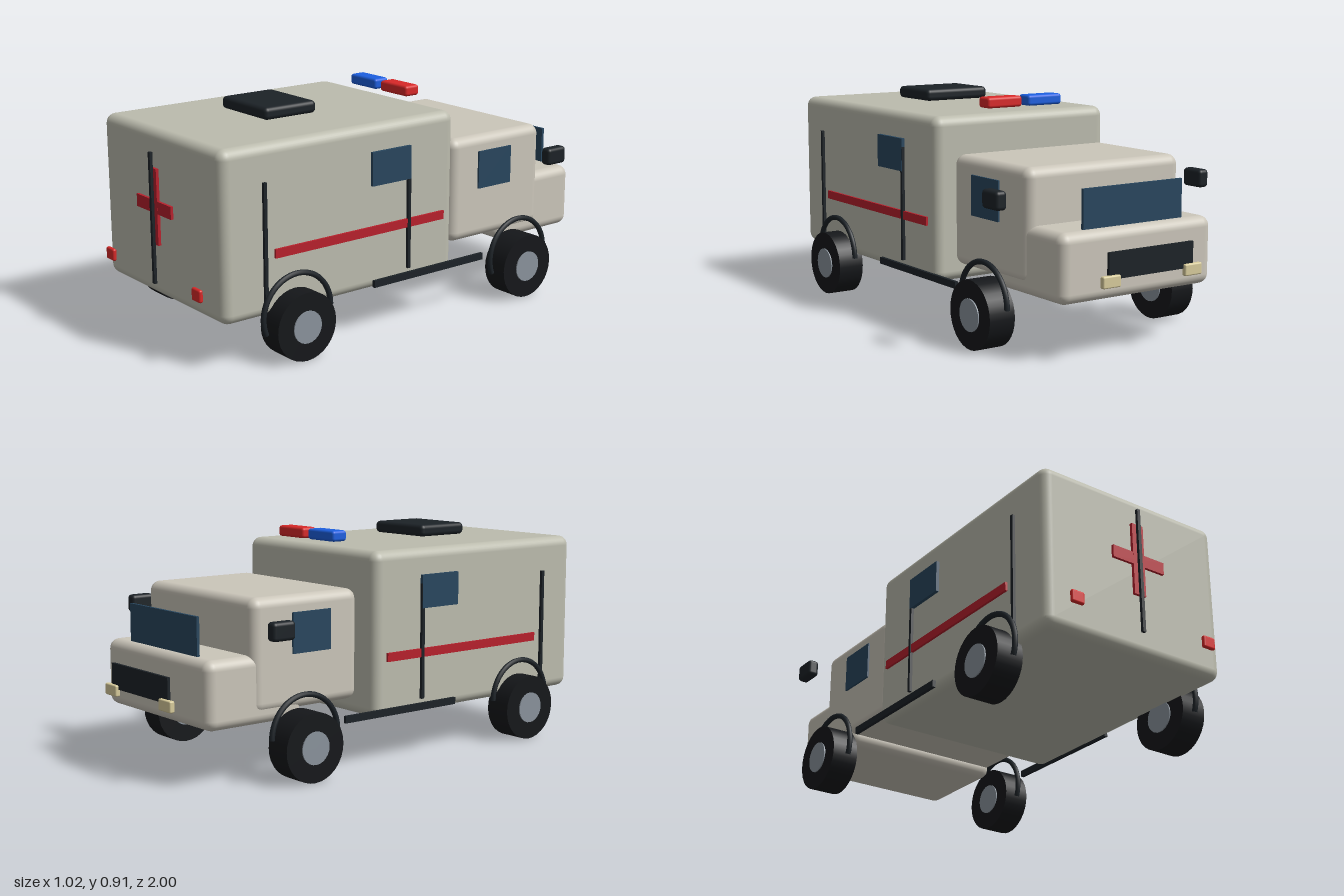
import * as THREE from 'three';
import { RoundedBoxGeometry } from 'three/addons/geometries/RoundedBoxGeometry.js';

const mat = (color) => new THREE.MeshStandardMaterial({ color });

export function createModel() {
  const group = new THREE.Group();
  const M = {
    body: mat(0xbcbcae), cab: mat(0xcbc6ba), black: mat(0x1c2227), tire: mat(0x15171a),
    hub: mat(0x8a939c), glass: mat(0x28465e), red: mat(0xb8202c), lampRed: mat(0xd82828),
    lampBlue: mat(0x1c5fe0), cream: mat(0xd8cc9c),
  };

  const add = (name, geometry, material, x = 0, y = 0, z = 0) => {
    const mesh = new THREE.Mesh(geometry, material);
    mesh.name = name;
    mesh.position.set(x, y, z);
    group.add(mesh);
    return mesh;
  };
  // Box given by its [min, max] range on each axis; r rounds the edges
  const box = (name, material, [x0, x1], [y0, y1], [z0, z1], r = 0) => {
    const size = [x1 - x0, y1 - y0, z1 - z0];
    const geometry = r ? new RoundedBoxGeometry(...size, 4, r) : new THREE.BoxGeometry(...size);
    return add(name, geometry, material, (x0 + x1) / 2, (y0 + y1) / 2, (z0 + z1) / 2);
  };
  // Box repeated on both sides
  const pair = (name, material, [x0, x1], y, z, r) => {
    box('left' + name, material, [x0, x1], y, z, r);
    box('right' + name, material, [-x1, -x0], y, z, r);
  };

  // Main volumes
  box('rearCompartment', M.body, [-0.42, 0.42], [0.18, 0.842], [-0.172, 0.945], 0.04);
  box('cab', M.cab, [-0.367, 0.367], [0.262, 0.7], [-0.718, -0.212], 0.04);
  box('hood', M.cab, [-0.36, 0.36], [0.22, 0.485], [-0.917, -0.48], 0.04);

  // Front end
  box('windshield', M.glass, [-0.235, 0.235], [0.465, 0.635], [-0.878, -0.866]);
  box('grille', M.black, [-0.2, 0.2], [0.315, 0.415], [-0.987, -0.975]);
  pair('Headlight', M.cream, [0.153, 0.235], [0.287, 0.332], [-1, -0.978], 0.006);
  pair('Mirror', M.black, [0.463, 0.511], [0.557, 0.629], [-0.728, -0.625], 0.015);

  // Roof
  box('blueBeacon', M.lampBlue, [-0.182, -0.015], [0.864, 0.908], [-0.19, -0.118], 0.012);
  box('redBeacon', M.lampRed, [0.015, 0.182], [0.864, 0.908], [-0.19, -0.118], 0.012);
  box('roofVent', M.black, [-0.153, 0.153], [0.853, 0.903], [0.315, 0.56], 0.018);

  // Side trim
  pair('SideStripe', M.red, [0.418, 0.43], [0.405, 0.44], [-0.112, 0.718]);
  pair('CompartmentWindow', M.glass, [0.42, 0.434], [0.603, 0.737], [0.066, 0.26]);
  pair('CabWindow', M.glass, [0.361, 0.375], [0.477, 0.635], [-0.537, -0.355]);
  pair('RunningBoard', M.black, [0.421, 0.435], [0.19, 0.218], [-0.33, 0.25]);
  for (const z of [0.072, 0.762])
    pair('DoorSeam', M.black, [0.421, 0.433], [0.235, 0.702], [z - 0.007, z + 0.007]);

  // Rear face
  box('crossUpright', M.red, [-0.027, 0.027], [0.405, 0.705], [0.964, 0.976]);
  box('crossBar', M.red, [-0.123, 0.123], [0.53, 0.58], [0.9645, 0.9755]);
  box('rearDoorSeam', M.black, [-0.007, 0.007], [0.25, 0.768], [0.976, 0.988]);
  pair('TailLight', M.lampRed, [0.286, 0.344], [0.267, 0.317], [0.982, 1], 0.008);

  // Wheels and arched fender rims
  const tire = new THREE.CylinderGeometry(0.135, 0.135, 0.112, 32).rotateZ(Math.PI / 2);
  const hub = new THREE.CylinderGeometry(0.064, 0.064, 0.122, 24).rotateZ(Math.PI / 2);
  const fender = new THREE.TorusGeometry(0.156, 0.011, 10, 36, Math.PI * 1.12).rotateY(-Math.PI / 2);
  // Arc runs from the front end over the top and down behind the wheel
  fender.rotateX(0);
  fender.computeBoundingBox();
  const flip = fender.attributes.position.getZ(0) > 0;
  if (flip) fender.rotateY(Math.PI);
  for (const side of [1, -1]) {
    for (const [end, z] of [['front', -0.529], ['rear', 0.626]]) {
      const prefix = end + (side > 0 ? 'Left' : 'Right');
      add(prefix + 'Tire', tire, M.tire, side * 0.441, 0.135, z);
      add(prefix + 'Hub', hub, M.hub, side * 0.441, 0.135, z);
      add(prefix + 'Fender', fender, M.black, side * 0.435, 0.175, z);
    }
  }
  return group;
}
